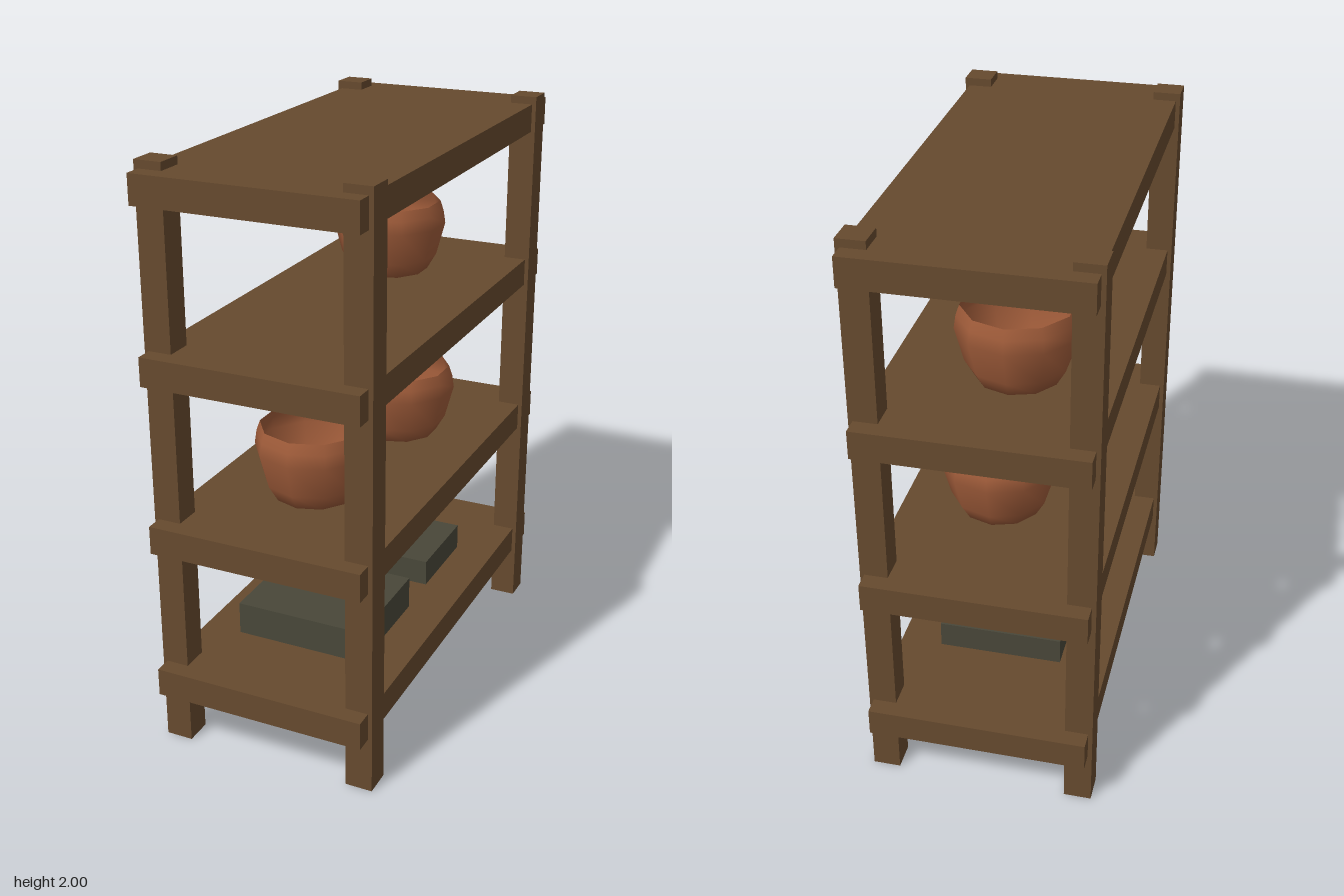
import * as THREE from 'three';

export function createModel() {
  const root = new THREE.Group();
  root.name = 'storageRack';
  const material = (name, color, extra = {}) =>
    Object.assign(new THREE.MeshStandardMaterial({ color, ...extra }), { name });
  const wood = material('darkWood', 0x664a2e);
  const clay = material('terracotta', 0xa05c3a, { side: THREE.DoubleSide });
  const slate = material('slate', 0x494739);

  const add = (name, geometry, mat, x, y, z) => {
    const mesh = new THREE.Mesh(geometry, mat);
    mesh.name = name;
    mesh.position.set(x, y, z);
    root.add(mesh);
  };

  // Four corner posts, standing slightly proud of the shelves
  const postGeometry = new THREE.BoxGeometry(0.093, 2, 0.093);
  for (const x of [-0.338, 0.338])
    for (const z of [-0.694, 0.694]) add('cornerPost', postGeometry, wood, x, 1, z);

  // Four thick shelf boards
  const shelfGeometry = new THREE.BoxGeometry(0.74, 0.097, 1.6);
  for (const y of [0.245, 0.779, 1.357, 1.925]) add('shelf', shelfGeometry, wood, 0, y, 0);

  // Open ten-sided clay pots
  const profile = [[0, 0], [0.138, 0], [0.17, 0.055], [0.2, 0.17], [0.193, 0.215], [0.181, 0.25]]
    .map(([r, y]) => new THREE.Vector2(r, y));
  const potGeometry = new THREE.LatheGeometry(profile, 10);
  for (const [x, y, z] of [[0, 0.831, 0.355], [0.04, 0.831, -0.255], [-0.047, 1.408, -0.355]])
    add('clayPot', potGeometry, clay, x, y, z);

  // Flat slabs on the lowest shelf
  add('largeSlab', new THREE.BoxGeometry(0.465, 0.115, 0.405), slate, -0.003, 0.351, 0.277);
  add('smallSlab', new THREE.BoxGeometry(0.43, 0.094, 0.32), slate, 0.01, 0.34, -0.255);

  return root;
}
